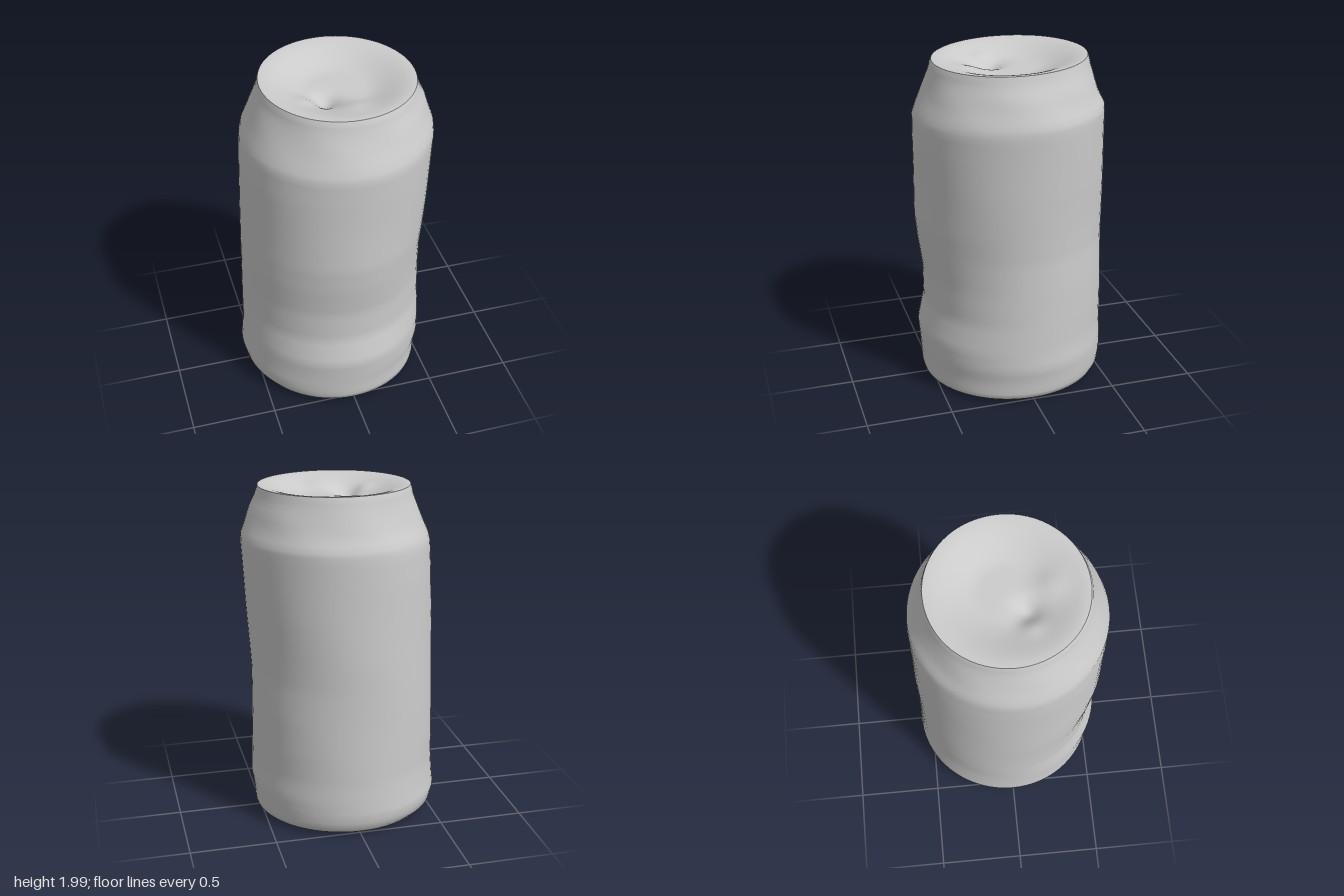
import * as THREE from 'three';

// Body outline: height, min x, max x, min z, max z
const SECTIONS = [
  [0.015, -0.48, 0.49, -0.48, 0.51],
  [0.03, -0.535, 0.525, -0.53, 0.54],
  [0.06, -0.56, 0.53, -0.555, 0.547],
  [0.13, -0.575, 0.535, -0.567, 0.55],
  [0.22, -0.567, 0.548, -0.563, 0.557],
  [0.33, -0.56, 0.543, -0.557, 0.565],
  [0.5, -0.555, 0.54, -0.555, 0.527],
  [0.7, -0.552, 0.538, -0.552, 0.53],
  [0.9, -0.55, 0.533, -0.55, 0.557],
  [1.05, -0.546, 0.54, -0.55, 0.57],
  [1.3, -0.54, 0.557, -0.546, 0.57],
  [1.5, -0.535, 0.567, -0.543, 0.573],
  [1.66, -0.525, 0.575, -0.54, 0.572],
  [1.71, -0.51, 0.572, -0.535, 0.555],
  [1.78, -0.48, 0.545, -0.5, 0.525],
  [1.86, -0.447, 0.517, -0.47, 0.495],
  [1.92, -0.422, 0.488, -0.45, 0.475],
  [1.96, -0.412, 0.475, -0.44, 0.465],
  [1.98, -0.405, 0.47, -0.432, 0.455],
];
const SEGMENTS = 72;

// Linear interpolation of the outline at a height
function sectionAt(y) {
  let i = 0;
  while (i < SECTIONS.length - 2 && SECTIONS[i + 1][0] < y) i++;
  const a = SECTIONS[i], b = SECTIONS[i + 1];
  const t = THREE.MathUtils.clamp((y - a[0]) / (b[0] - a[0]), 0, 1);
  return a.map((v, k) => v + (b[k] - v) * t);
}

const bump = (x, y, size) => Math.exp(-(x * x + y * y) / (size * size));

// Point on a cross-section, scaled about its centre
function ringPoint([, x0, x1, z0, z1], angle, scale = 1) {
  return [
    (x0 + x1) / 2 + Math.sin(angle) * scale * (x1 - x0) / 2,
    (z0 + z1) / 2 + Math.cos(angle) * scale * (z1 - z0) / 2,
  ];
}

// Surface through closed rings of points; rows run from low to high
function skin(rows, pointAt) {
  const positions = [], indices = [];
  rows.forEach((row) => {
    for (let j = 0; j < SEGMENTS; j++) {
      positions.push(...pointAt(row, (j / SEGMENTS) * Math.PI * 2));
    }
  });
  for (let i = 0; i < rows.length - 1; i++) {
    for (let j = 0; j < SEGMENTS; j++) {
      const k = (j + 1) % SEGMENTS;
      const a = i * SEGMENTS + j, b = i * SEGMENTS + k;
      const c = a + SEGMENTS, d = b + SEGMENTS;
      indices.push(a, b, d, a, d, c);
    }
  }
  const geometry = new THREE.BufferGeometry();
  geometry.setAttribute('position', new THREE.Float32BufferAttribute(positions, 3));
  geometry.setIndex(indices);
  geometry.computeVertexNormals();
  return geometry;
}

// Rim tilts up towards the back; the base lifts slightly at its left edge
const rimLift = (z) => 0.006 - 0.028 * z;

function wallPoint(y, angle) {
  // faint crumpling, stronger around the shoulder
  const crumple = 0.003 * Math.sin(3 * angle + 4 * y) * Math.sin(5 * y + angle)
    + 0.006 * bump(y - 1.82, 0, 0.1) * Math.sin(7 * angle + 9 * y);
  const dent = 0.012 * bump(angle - 0.9, (y - 0.8) * 1.5, 0.35);
  const [x, z] = ringPoint(sectionAt(y), angle, 1 + crumple - dent);
  const top = THREE.MathUtils.smoothstep(y, 1.75, 1.98);
  const base = 1 - THREE.MathUtils.smoothstep(y, 0.02, 0.2);
  return [x, y + top * rimLift(z) + base * 0.015 * Math.max(0, -x - 0.1), z];
}

// Lid: a shallow dish with a pushed-in opening and a raised fold beside it
function lidPoint(r, angle) {
  const [x, z] = ringPoint(SECTIONS[SECTIONS.length - 1], angle, r * wallScale(angle));
  const dish = 0.075 * (1 - THREE.MathUtils.smoothstep(r, 0.35, 1));
  const pit = 0.045 * bump(x + 0.07, z - 0.11, 0.07);
  const fold = 0.025 * bump(x - 0.06, z - 0.24, 0.09) + 0.02 * bump(x + 0.16, z - 0.12, 0.06);
  const inside = Math.min(1, (1 - r) * 4);
  return [x, 1.98 + rimLift(z) - dish + (fold - pit) * inside, z];
}
function wallScale(angle) {
  const y = 1.98;
  return 1 + 0.003 * Math.sin(3 * angle + 4 * y) * Math.sin(5 * y + angle)
    + 0.006 * bump(y - 1.82, 0, 0.1) * Math.sin(7 * angle + 9 * y);
}

// Nearly flat underside
function basePoint(r, angle) {
  const [x, y, z] = wallPoint(SECTIONS[0][0], angle);
  return [0.005 + (x - 0.005) * r, 0.005 + (y - 0.005) * r, 0.015 + (z - 0.015) * r];
}

export function createModel() {
  const group = new THREE.Group();
  group.name = 'dentedCan';
  const material = new THREE.MeshStandardMaterial({ color: 0xcccccc, side: THREE.DoubleSide });
  const add = (name, geometry) => {
    const mesh = new THREE.Mesh(geometry, material);
    mesh.name = name;
    group.add(mesh);
  };

  // Wall rows: every outline height plus even steps between them
  const heights = [];
  SECTIONS.slice(0, -1).forEach(([y], i) => {
    const next = SECTIONS[i + 1][0], steps = Math.ceil((next - y) / 0.04);
    for (let s = 0; s < steps; s++) heights.push(y + ((next - y) * s) / steps);
  });
  heights.push(SECTIONS[SECTIONS.length - 1][0]);
  add('wall', skin(heights, wallPoint));

  const lidRows = Array.from({ length: 25 }, (_, i) => 1 - i / 24);
  add('lid', skin(lidRows, lidPoint));

  add('base', skin([0, 0.5, 0.8, 1], basePoint));
  return group;
}
